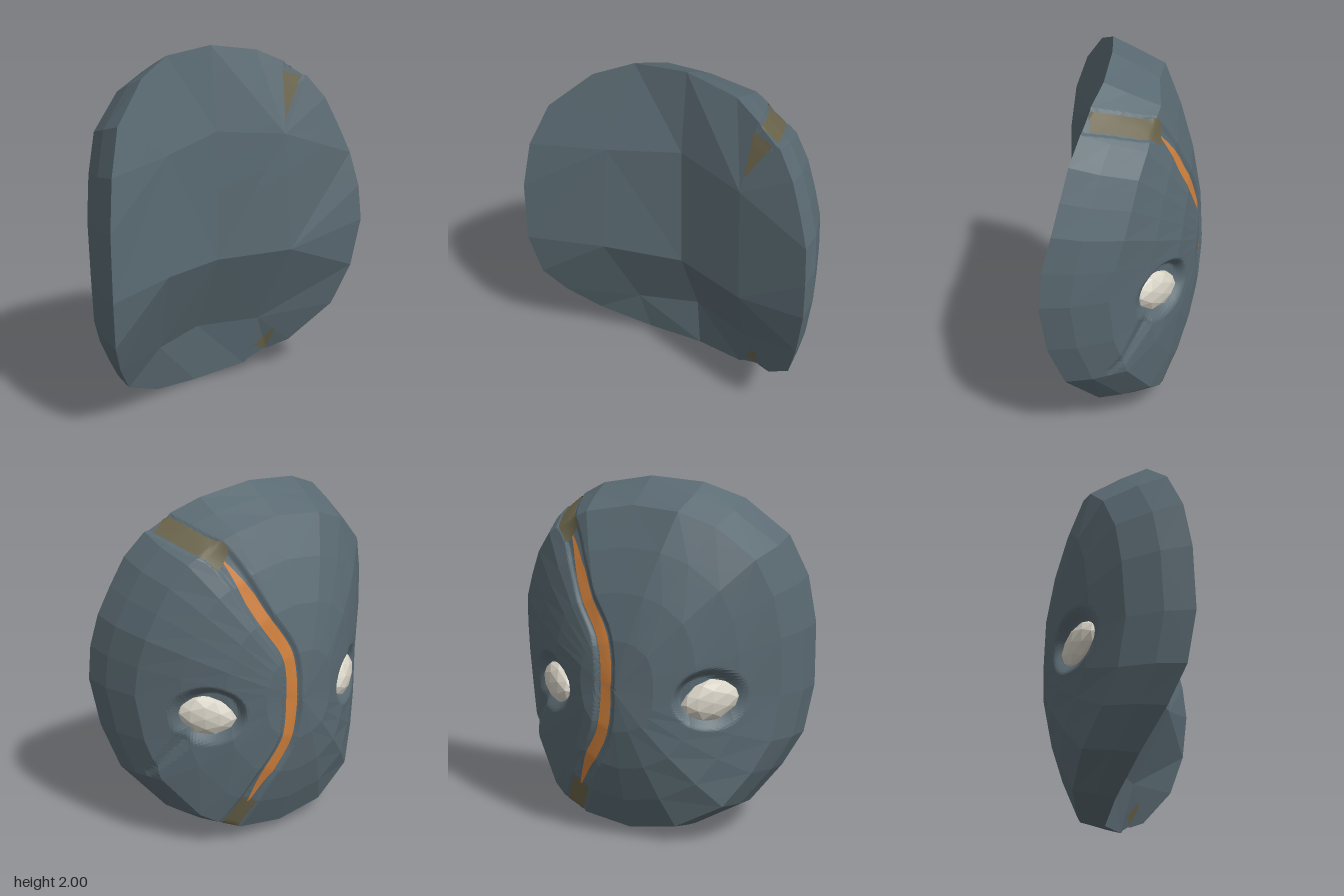
import * as THREE from 'three';

const V = (x, y, z) => new THREE.Vector3(x, y, z);
const CORE = V(0, 0.95, 0.05);

// Rim outline, counter-clockwise seen from +z
const RIM = [
  [0.86, 0.95, 0.39], [0.85, 1.15, 0.37], [0.82, 1.34, 0.32], [0.76, 1.5, 0.28], [0.69, 1.66, 0.24],
  [0.59, 1.79, 0.19], [0.45, 1.88, 0.15], [0.3, 1.95, 0.1], [0, 2, 0.08], [-0.3, 1.975, 0.1],
  [-0.51, 1.89, 0.18], [-0.73, 1.69, 0.29], [-0.82, 1.46, 0.37], [-0.86, 1.19, 0.41], [-0.86, 0.83, 0.42],
  [-0.82, 0.56, 0.37], [-0.73, 0.38, 0.27], [-0.59, 0.19, 0.13], [-0.31, 0.05, 0], [0, 0, -0.07],
  [0.31, 0.05, 0], [0.45, 0.12, 0.04], [0.56, 0.18, 0.12], [0.75, 0.42, 0.28], [0.82, 0.67, 0.36],
].map((p) => V(...p));

// Knots of the inside, around its centre
const INNER = [
  [0.43, 0.82, 0.28], [0.4, 1.49, 0.24], [0, 1.54, 0.14], [-0.4, 1.49, 0.25],
  [-0.43, 0.84, 0.29], [-0.34, 0.34, 0.07], [0, 0.35, -0.04], [0.36, 0.35, 0.07],
].map((p) => V(...p));

// Coarse facets of the mask: rings from the inner centre over the rim to the outer crown
function maskFacets() {
  const innerC = V(0, 0.81, 0.15), crown = V(0, 0.9, -0.42);
  const edge = RIM.map((p) => {
    const w = Math.abs(p.x) / 0.86, top = p.y > 0.95;
    const drop = top ? 0.25 + 0.11 * w : 0.15 + 0.2 * w;
    return V(p.x * 0.9, 0.95 + (p.y - 0.95) * (top ? 0.87 : 0.94), p.z - drop);
  });
  const bevel = RIM.map((p, i) => V(p.x * 0.98, p.y * 0.55 + edge[i].y * 0.45, p.z * 0.55 + edge[i].z * 0.45));
  const dome = (s) => edge.map((e) => V(e.x * s, crown.y + (e.y - crown.y) * s, crown.z + (e.z - crown.z) * s * s));
  const flat = (a, b) => Math.hypot(a.x - b.x, a.y - b.y);
  const knot = (p) => INNER.reduce((best, q) => (flat(p, q) < flat(p, best) ? q : best));
  const rings = [
    RIM.map(() => innerC), RIM.map(knot),
    RIM, bevel, edge, dome(0.78), dome(0.54), dome(0.28),
    RIM.map(() => crown),
  ];
  const tris = [];
  const add = (a, b, c) => { if (a !== b && b !== c && c !== a) tris.push([a, b, c]); };
  for (let r = 0; r < rings.length - 1; r++) {
    const a = rings[r], b = rings[r + 1];
    for (let i = 0; i < RIM.length; i++) {
      const j = (i + 1) % RIM.length;
      add(a[i], b[i], b[j]);
      add(a[i], b[j], a[j]);
    }
  }
  return tris;
}

// Split every facet n times per side and move the points by a rule
function facetGeometry(tris, n, move = (p) => p) {
  const pos = [];
  for (const [a, b, c] of tris) {
    const at = (i, j) => a.clone().addScaledVector(b.clone().sub(a), i / n).addScaledVector(c.clone().sub(a), j / n);
    const grid = [];
    for (let i = 0; i <= n; i++) {
      grid.push([]);
      for (let j = 0; j <= n - i; j++) grid[i].push(move(at(i, j)));
    }
    const put = (...ps) => ps.forEach((p) => pos.push(p.x, p.y, p.z));
    for (let i = 0; i < n; i++) {
      for (let j = 0; j < n - i; j++) {
        put(grid[i][j], grid[i + 1][j], grid[i][j + 1]);
        if (j < n - i - 1) put(grid[i + 1][j], grid[i + 1][j + 1], grid[i][j + 1]);
      }
    }
  }
  const g = new THREE.BufferGeometry();
  g.setAttribute('position', new THREE.Float32BufferAttribute(pos, 3));
  g.computeVertexNormals();
  return g;
}

// Drop a point onto a mesh, either towards the core or along -z from inside
function project(mesh, p, inside) {
  const dir = inside ? V(0, 0, -1) : CORE.clone().sub(p).normalize();
  const ray = new THREE.Raycaster(p.clone().addScaledVector(dir, -1), dir);
  const hit = ray.intersectObject(mesh)[0];
  return { point: hit ? hit.point : p.clone(), out: dir.negate() };
}

// Thin painted strip lying on the mesh
function ribbon(mesh, points, width, material, name, inside = false) {
  const pos = [], index = [], across = 4;
  points.forEach((p, i) => {
    const t = points[Math.min(i + 1, points.length - 1)].clone().sub(points[Math.max(i - 1, 0)]);
    const out = inside ? V(0, 0, 1) : p.clone().sub(CORE).normalize();
    const side = t.cross(out).normalize();
    for (let k = 0; k <= across; k++) {
      const q = p.clone().addScaledVector(side, (k / across - 0.5) * width(i / (points.length - 1)));
      const hit = project(mesh, q, inside);
      hit.point.addScaledVector(hit.out, 0.006);
      pos.push(...hit.point.toArray());
      if (i && k) {
        const d = i * (across + 1) + k, c = d - 1, b = d - across - 1, a = b - 1;
        index.push(a, c, b, b, c, d);
      }
    }
  });
  const g = new THREE.BufferGeometry();
  g.setAttribute('position', new THREE.Float32BufferAttribute(pos, 3));
  g.setIndex(index);
  g.computeVertexNormals();
  const m = new THREE.Mesh(g, material);
  m.name = name;
  return m;
}

export function createModel() {
  const mat = (name, color, extra) => Object.assign(new THREE.MeshStandardMaterial({ color, ...extra }), { name });
  const slate = mat('slate', 0x5a6a72, { flatShading: true });
  const orange = mat('orange', 0xd0803c, { side: THREE.DoubleSide });
  const olive = mat('olive', 0x6a644b, { side: THREE.DoubleSide });
  const ivory = mat('ivory', 0xd8d3c6, { flatShading: true });
  const group = new THREE.Group();
  group.name = 'mask';

  // Course of the seam, laid onto the coarse shell
  const facets = maskFacets();
  const coarse = new THREE.Mesh(facetGeometry(facets, 1), slate);
  const seam = new THREE.CatmullRomCurve3([
    V(0.52, 1.83, 0.17), V(0.44, 1.77, -0.1), V(0.34, 1.66, -0.19), V(0.2, 1.38, -0.33), V(0.08, 1.17, -0.4),
    V(0.06, 0.9, -0.42), V(0.09, 0.65, -0.4), V(0.21, 0.43, -0.34), V(0.27, 0.3, -0.29), V(0.33, 0.18, -0.18),
    V(0.39, 0.1, 0.02),
  ]).getSpacedPoints(140).map((p) => project(coarse, p).point);
  const scar = [];
  for (let i = 0; i <= 20; i++) {
    scar.push(project(coarse, V(0.55, 0.72, -0.12).lerp(V(0.71, 0.47, 0.04), i / 20)).point);
  }

  // Shell with seam channel, eye sockets and a scar under the left eye
  const step = THREE.MathUtils.smoothstep;
  const nearest = (p, list) => {
    let best = 9, at = 0;
    list.forEach((q, i) => {
      const d = p.distanceToSquared(q);
      if (d < best) { best = d; at = i; }
    });
    return [Math.sqrt(best), at / (list.length - 1)];
  };
  const shell = new THREE.Mesh(facetGeometry(facets, 14, (p) => {
    const [gap, along] = nearest(p, seam);
    const middle = step(Math.min(along, 1 - along), 0.1, 0.22);
    let depth = (0.008 + 0.014 * middle) * (1 - step(gap, 0.06 - 0.022 * middle, 0.08 - 0.012 * middle));
    if (p.z < 0.1) {
      const u = (Math.abs(p.x) - 0.47) * 0.8 + (p.z + 0.2) * 0.6;
      depth += 0.06 * (1 - step(Math.hypot(u / 0.22, (p.y - 0.855) / 0.18), 0.65, 1));
      if (p.x > 0.4) {
        const [d, t] = nearest(p, scar);
        depth += 0.03 * (1 - 0.7 * t) * Math.max(0, 1 - d / (0.06 - 0.035 * t));
      }
    }
    return p.addScaledVector(CORE.clone().sub(p).normalize(), depth);
  }), slate);
  shell.name = 'maskShell';
  group.add(shell);

  // Painted seam: orange in the middle, olive towards both ends
  const taper = (t) => 0.012 + 0.056 * Math.min(1, 7 * t, 7 * (1 - t));
  group.add(ribbon(shell, seam.slice(27, 118), taper, orange, 'orangeSeam'));
  group.add(ribbon(shell, seam.slice(1, 28), () => 0.115, olive, 'upperSeamEnd'));
  group.add(ribbon(shell, seam.slice(116, 140), () => 0.11, olive, 'lowerSeamEnd'));

  // Streaks running from the seam ends onto the inside
  const line = (a, b) => Array.from({ length: 12 }, (_, i) => a.clone().lerp(b, i / 11));
  group.add(ribbon(shell, line(V(0.49, 1.81, 0.2), V(0.41, 1.57, 0.2)), (t) => 0.12 * (1 - t), olive, 'upperInnerStreak', true));
  group.add(ribbon(shell, line(V(0.405, 0.14, 0.1), V(0.47, 0.29, 0.2)), (t) => 0.08 * (1 - t), olive, 'lowerInnerStreak', true));

  // Almond eyes
  for (const s of [1, -1]) {
    const g = new THREE.IcosahedronGeometry(1, 1);
    const a = g.attributes.position;
    for (let i = 0; i < a.count; i++) {
      const x = a.getX(i);
      a.setXYZ(i, x * 0.165, a.getY(i) * 0.12 * (1 - 0.3 * x * x) - s * x * 0.02, a.getZ(i) * 0.065);
    }
    g.computeVertexNormals();
    const eye = new THREE.Mesh(g, ivory);
    eye.name = s > 0 ? 'leftEye' : 'rightEye';
    eye.position.set(s * 0.46, 0.84, -0.172);
    eye.lookAt(s * (0.46 + 0.6), 0.84, -0.172 - 0.8);
    group.add(eye);
  }
  return group;
}
